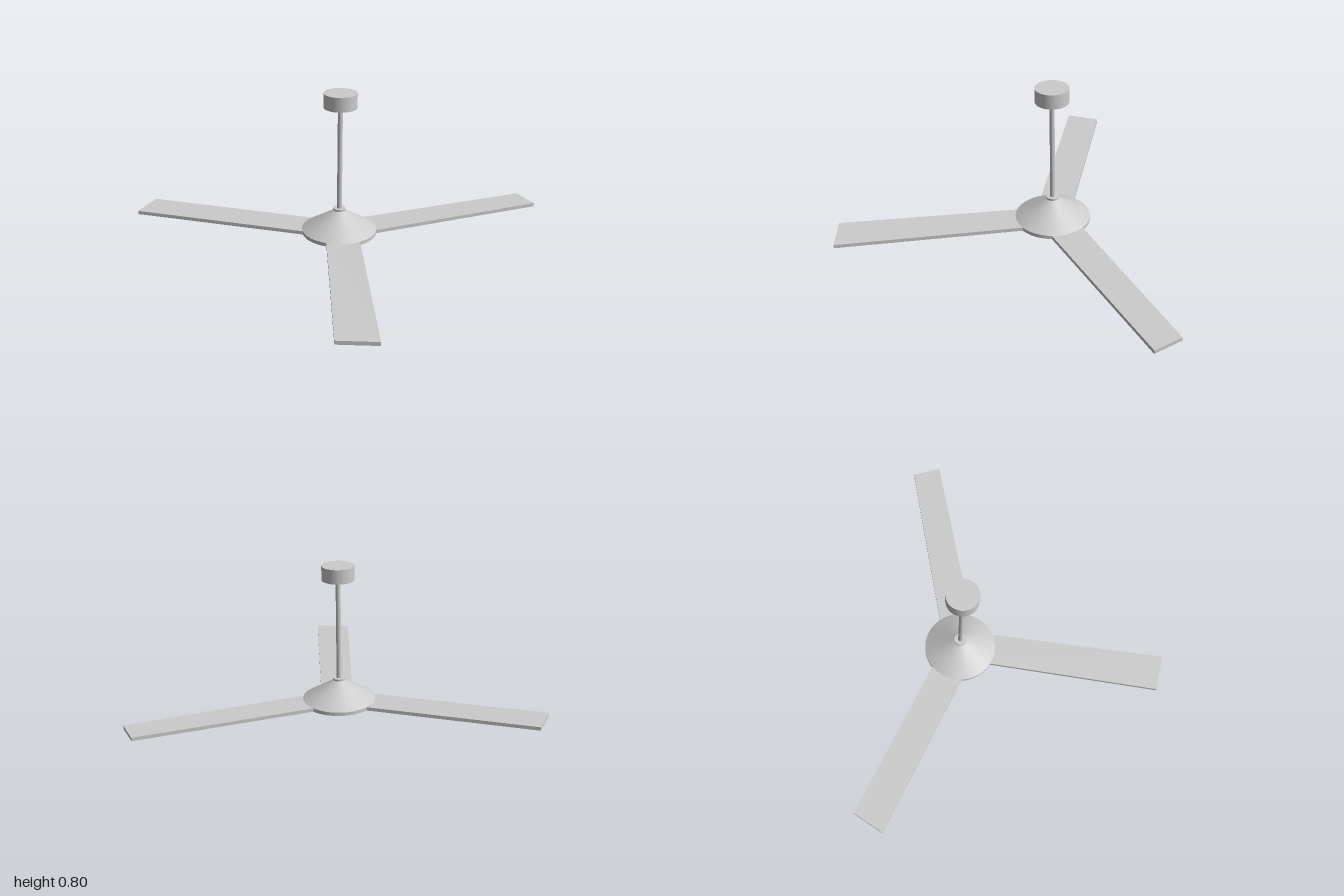
import * as THREE from 'three';

const CENTRE = { x: 0.165, z: -0.012 };
const grey = new THREE.MeshStandardMaterial({ color: 0xcccccc });

// Upright round part between two heights, on the fan's axis
function roundPart(name, rTop, rBottom, y0, y1, sides = 48) {
  const mesh = new THREE.Mesh(new THREE.CylinderGeometry(rTop, rBottom, y1 - y0, sides), grey);
  mesh.name = name;
  mesh.position.set(CENTRE.x, (y0 + y1) / 2, CENTRE.z);
  return mesh;
}

// Flat blade from four plan corners [x, z]: two at the root, two at the tip
function blade(name, corners) {
  const shape = new THREE.Shape(corners.map(([x, z]) => new THREE.Vector2(x, z)));
  const geometry = new THREE.ExtrudeGeometry(shape, { depth: 0.02, bevelEnabled: false });
  geometry.rotateX(Math.PI / 2).translate(0, 0.02, 0);
  const mesh = new THREE.Mesh(geometry, grey);
  mesh.name = name;
  return mesh;
}

export function createModel() {
  const fan = new THREE.Group();
  fan.name = 'ceilingFan';

  // Ceiling canopy, down rod and collar
  fan.add(roundPart('canopy', 0.09, 0.09, 0.72, 0.8));
  fan.add(roundPart('downRod', 0.0135, 0.0135, 0.13, 0.73, 24));
  fan.add(roundPart('collar', 0.035, 0.035, 0.132, 0.143, 32));

  // Motor housing: conical cover on a thin rim
  fan.add(roundPart('housingCover', 0.02, 0.205, 0.02, 0.135, 64));
  fan.add(roundPart('housingRim', 0.205, 0.205, 0, 0.02, 64));

  // Three blades, their roots buried in the rim
  fan.add(blade('rightBlade', [[0.01, -0.06], [0.06, 0.12], [-0.93, 0.41], [-0.96, 0.22]]));
  fan.add(blade('backLeftBlade', [[0.19, -0.19], [0.33, -0.07], [0.955, -0.915], [0.815, -1]]));
  fan.add(blade('frontLeftBlade', [[0.33, 0.05], [0.18, 0.15], [0.745, 1], [0.925, 0.9]]));

  return fan;
}
